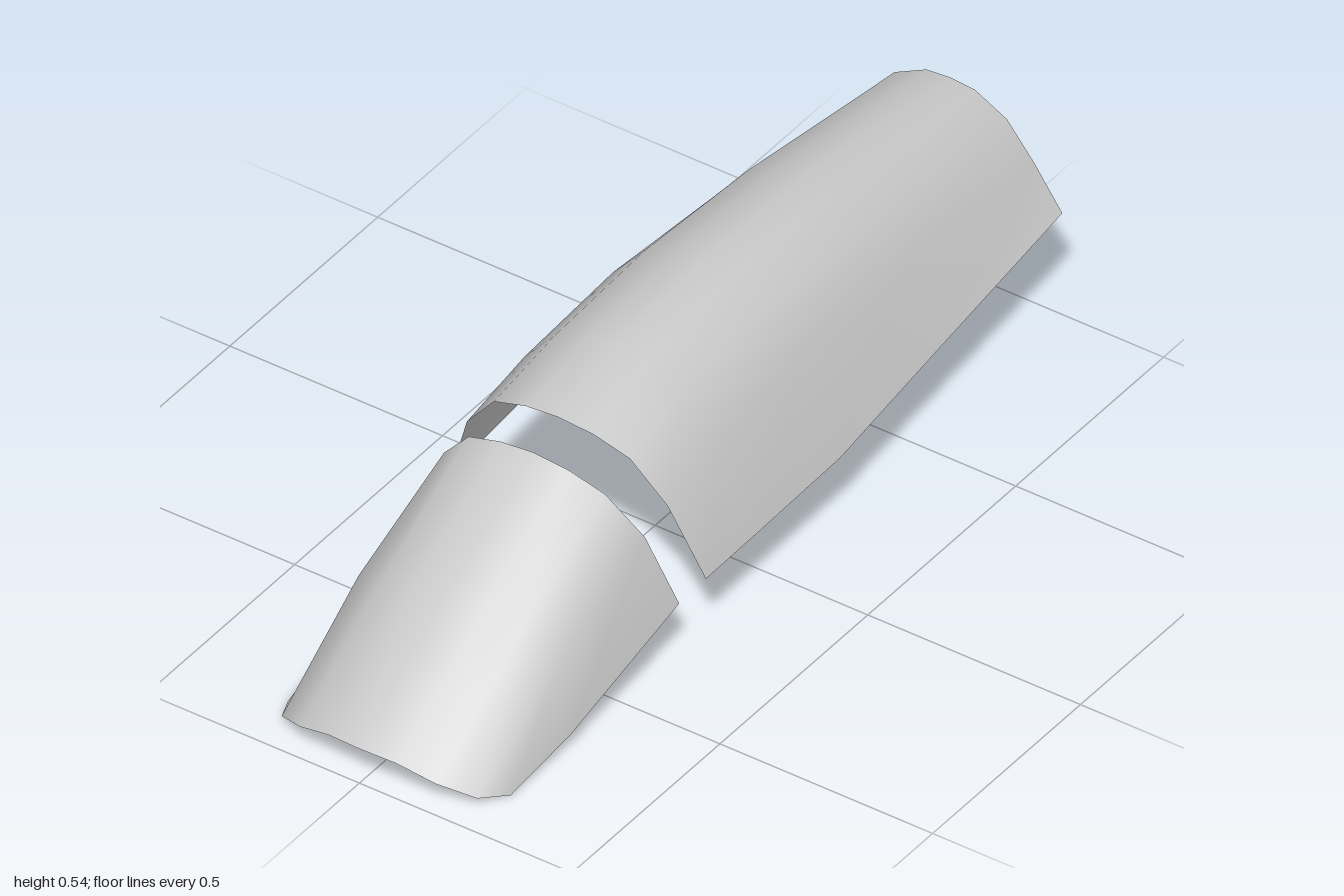
import * as THREE from 'three';

const shellGrey = new THREE.MeshStandardMaterial({ color: 0xc8c8c8, side: THREE.DoubleSide });
shellGrey.name = 'shellGrey';

// Skin an open arched shell over half sections [x, y, z] listed crown to hem, back to front.
function archedShell(name, halfSections) {
  const position = [], index = [];
  const cols = halfSections[0].length * 2 - 1;
  for (const half of halfSections) {
    const mirrored = half.slice(1).map(([x, y, z]) => [-x, y, z]);
    for (const p of [...half].reverse().concat(mirrored)) position.push(...p);
  }
  for (let i = 0; i < halfSections.length - 1; i++) {
    for (let j = 0; j < cols - 1; j++) {
      const a = i * cols + j, b = a + 1, c = a + cols, d = c + 1;
      index.push(a, b, c, b, d, c);
    }
  }
  const geometry = new THREE.BufferGeometry();
  geometry.setAttribute('position', new THREE.Float32BufferAttribute(position, 3));
  geometry.setIndex(index);
  geometry.computeVertexNormals();
  const mesh = new THREE.Mesh(geometry, shellGrey);
  mesh.name = name;
  return mesh;
}

export function createModel() {
  const model = new THREE.Group();
  model.name = 'splitArchedCover';

  // Long rear cover, widest just behind the middle
  model.add(archedShell('rearCover', [
    [[0, 0.463, -1], [0.057, 0.458, -1], [0.132, 0.419, -1], [0.197, 0.34, -1], [0.262, 0.248, -1]],
    [[0, 0.533, -0.52], [0.063, 0.522, -0.52], [0.141, 0.479, -0.52], [0.215, 0.388, -0.52], [0.29, 0.217, -0.54]],
    [[0, 0.545, -0.18], [0.066, 0.533, -0.18], [0.147, 0.495, -0.18], [0.225, 0.405, -0.18], [0.31, 0.188, -0.18]],
    [[0, 0.522, 0.13], [0.07, 0.511, 0.13], [0.15, 0.475, 0.125], [0.232, 0.378, 0.11], [0.304, 0.173, 0.09]],
    [[0, 0.467, 0.325], [0.08, 0.458, 0.322], [0.16, 0.43, 0.315], [0.236, 0.337, 0.297], [0.3, 0.165, 0.26]],
  ]));

  // Short sloping front cover with a rounded lip
  model.add(archedShell('frontCover', [
    [[0, 0.435, 0.41], [0.08, 0.425, 0.407], [0.16, 0.398, 0.4], [0.236, 0.31, 0.374], [0.286, 0.143, 0.33]],
    [[0, 0.277, 0.7], [0.08, 0.269, 0.7], [0.16, 0.236, 0.69], [0.238, 0.19, 0.66], [0.275, 0.04, 0.68]],
    [[0, 0.085, 1], [0.08, 0.08, 0.992], [0.16, 0.052, 0.972], [0.23, 0.022, 0.932], [0.262, 0.002, 0.865]],
  ]));

  return model;
}
